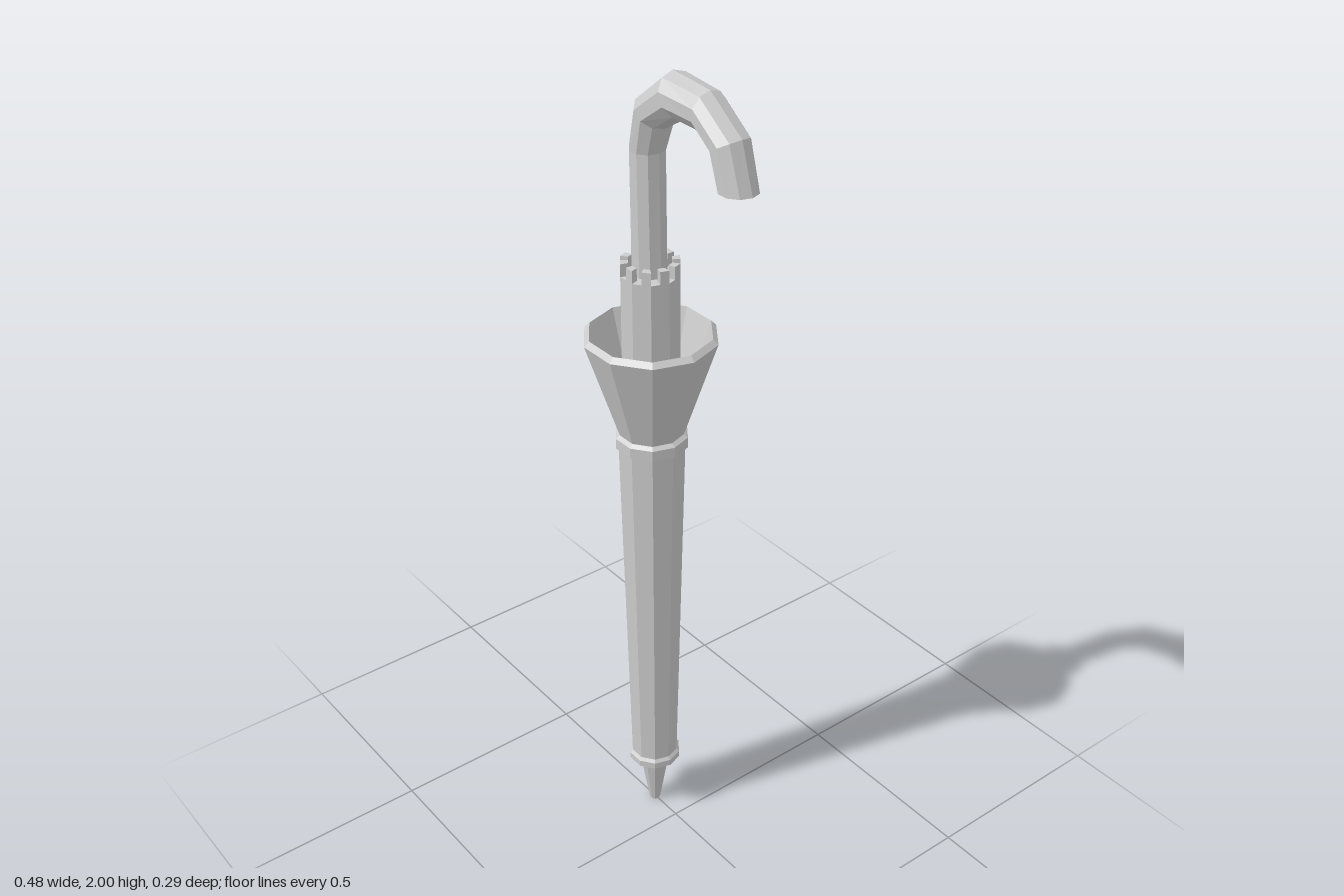
import * as THREE from 'three';

const SIDES = 10;
const AXIS_X = -0.089;
const grey = new THREE.MeshStandardMaterial({ color: 0xcccccc, flatShading: true, side: THREE.DoubleSide });

function addMesh(parent, name, geometry) {
  const mesh = new THREE.Mesh(geometry, grey);
  mesh.name = name;
  parent.add(mesh);
  return mesh;
}

// Ten-sided turned part, profile given as [radius, y] from bottom to top, with corners on +-x
function turned(parent, name, profile) {
  const points = profile.map(([r, y]) => new THREE.Vector2(r, y));
  return addMesh(parent, name, new THREE.LatheGeometry(points, SIDES, Math.PI / 2));
}

// Swept hook: each section is [outerX, outerY, innerX, innerY, halfDepth]
function hookGeometry(sections) {
  const positions = [], index = [];
  for (const [ox, oy, ix, iy, depth] of sections) {
    for (let k = 0; k < SIDES; k++) {
      const t = (k / SIDES) * Math.PI * 2, c = Math.cos(t) / 2;
      positions.push((ox + ix) / 2 + (ox - ix) * c, (oy + iy) / 2 + (oy - iy) * c, depth * Math.sin(t));
    }
  }
  for (let s = 0; s < sections.length - 1; s++) {
    for (let k = 0; k < SIDES; k++) {
      const a = s * SIDES + k, b = s * SIDES + (k + 1) % SIDES;
      index.push(a, b, b + SIDES, a, b + SIDES, a + SIDES);
    }
  }
  // end cap
  const last = (sections.length - 1) * SIDES;
  for (let k = 1; k < SIDES - 1; k++) index.push(last, last + k, last + k + 1);
  const geometry = new THREE.BufferGeometry();
  geometry.setAttribute('position', new THREE.Float32BufferAttribute(positions, 3));
  geometry.setIndex(index);
  geometry.computeVertexNormals();
  return geometry;
}

export function createModel() {
  const model = new THREE.Group();
  model.name = 'closedUmbrella';

  const shaft = new THREE.Group();
  shaft.name = 'shaft';
  shaft.position.x = AXIS_X;
  model.add(shaft);

  // Pointed ferrule and the small flange above it
  turned(shaft, 'tip', [[0, 0], [0.014, 0], [0.039, 0.157]]);
  turned(shaft, 'lowerFlange', [[0, 0.155], [0.066, 0.155], [0.066, 0.172], [0.059, 0.18]]);

  // Wrapped canopy and its tie band
  turned(shaft, 'wrappedCanopy', [[0.059, 0.17], [0.08, 1.11]]);
  turned(shaft, 'tieBand', [[0.074, 1.102], [0.086, 1.102], [0.086, 1.128], [0.076, 1.136]]);

  // Flared open skirt, with a bevelled rim and an inner wall
  turned(shaft, 'flaredSkirt', [[0.076, 1.134], [0.154, 1.376], [0.142, 1.388], [0.066, 1.15]]);

  // Runner sleeve with a notched crown
  turned(shaft, 'runner', [[0.068, 1.13], [0.068, 1.53], [0, 1.53]]);
  const crown = new THREE.Group();
  crown.name = 'notchedCrown';
  shaft.add(crown);
  const step = (Math.PI * 2) / SIDES;
  const facetPoint = (radius, f) => new THREE.Vector2(radius, 0)
    .lerp(new THREE.Vector2(radius * Math.cos(step), radius * Math.sin(step)), f);
  const toothShape = new THREE.Shape([
    facetPoint(0.05, 0.5), facetPoint(0.068, 0.5), facetPoint(0.068, 0), facetPoint(0.05, 0),
  ]);
  const toothGeometry = new THREE.ExtrudeGeometry(toothShape, { depth: 0.03, bevelEnabled: false });
  toothGeometry.rotateX(Math.PI / 2).translate(0, 1.56, 0);
  for (let k = 0; k < SIDES; k++) addMesh(crown, 'crownTooth', toothGeometry).rotation.y = -k * step;

  // Crook handle
  addMesh(model, 'crookHandle', hookGeometry([
    [-0.132, 1.5, -0.05, 1.5, 0.039],
    [-0.135, 1.81, -0.055, 1.81, 0.04],
    [-0.105, 1.925, -0.035, 1.87, 0.047],
    [-0.01, 2.0, 0.03, 1.91, 0.05],
    [0.108, 1.992, 0.1, 1.907, 0.045],
    [0.206, 1.922, 0.135, 1.88, 0.045],
    [0.241, 1.815, 0.155, 1.815, 0.043],
  ]));

  return model;
}
